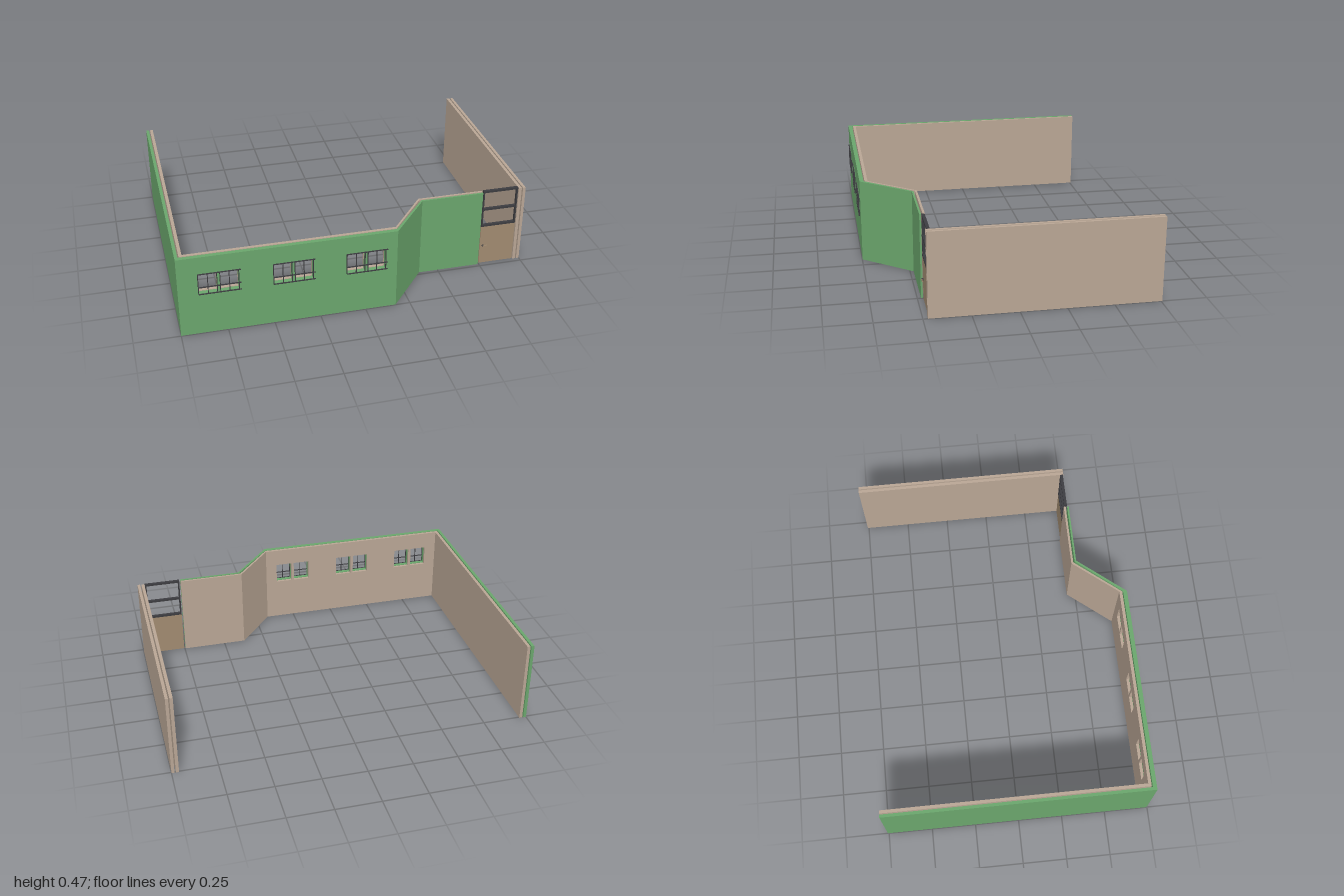
import * as THREE from 'three';

const H = 0.47;
const mat = (color) => new THREE.MeshStandardMaterial({ color, flatShading: true });
const GREEN = mat(0x6aa56c), TAN = mat(0xb8a594), WOOD = mat(0xa08a70), DARK = mat(0x3c3c40);

function add(parent, name, geometry, material) {
  const mesh = new THREE.Mesh(geometry, material);
  mesh.name = name;
  parent.add(mesh);
  return mesh;
}

// Box given by its lower and upper limits on each axis
function box(parent, name, x0, x1, y0, y1, z0, z1, material) {
  const g = new THREE.BoxGeometry(x1 - x0, y1 - y0, z1 - z0);
  g.translate((x0 + x1) / 2, (y0 + y1) / 2, (z0 + z1) / 2);
  return add(parent, name, g, material);
}

// Upright wall skin from a plan outline of [x, z] points
function planWall(parent, name, points, material) {
  const shape = new THREE.Shape(points.map(([x, z]) => new THREE.Vector2(x, -z)));
  const g = new THREE.ExtrudeGeometry(shape, { depth: H, bevelEnabled: false });
  g.rotateX(-Math.PI / 2);
  add(parent, name, g, material);
}

const windowCentres = [-0.787, -0.394, -0.001];
const W = { half: 0.104, mullion: 0.008, y0: 0.25, y1: 0.37 };

function rect(path, x0, x1, y0, y1) {
  return path.moveTo(x0, y0).lineTo(x1, y0).lineTo(x1, y1).lineTo(x0, y1).closePath();
}

// Front wall skin with a pair of openings per window
function frontSkin(parent, name, x0, x1, z0, z1, material) {
  const shape = rect(new THREE.Shape(), x0, x1, 0, H);
  for (const c of windowCentres) {
    shape.holes.push(rect(new THREE.Path(), c - W.half, c - W.mullion, W.y0, W.y1));
    shape.holes.push(rect(new THREE.Path(), c + W.mullion, c + W.half, W.y0, W.y1));
  }
  const g = new THREE.ExtrudeGeometry(shape, { depth: z1 - z0, bevelEnabled: false });
  g.translate(0, 0, z0);
  add(parent, name, g, material);
}

export function createModel() {
  const model = new THREE.Group();
  model.name = 'houseWalls';
  const back = -0.757;

  // Long side walls, each of two skins with a narrow cavity
  box(model, 'leftWingOuterSkin', -1, -0.983, 0, H, back, 0.725, GREEN);
  box(model, 'leftWingInnerSkin', -0.977, -0.96, 0, H, back, 0.703, TAN);
  box(model, 'rightWingInnerSkin', 0.96, 0.977, 0, H, back, 0.474, TAN);
  box(model, 'rightWingOuterSkin', 0.984, 1, 0, H, back, 0.474, TAN);

  // Front wall
  frontSkin(model, 'frontOuterSkin', -1, 0.17, 0.725, 0.748, GREEN);
  frontSkin(model, 'frontInnerSkin', -0.977, 0.17, 0.703, 0.72, TAN);

  // Slanted wall continuing into the recessed entrance wall
  planWall(model, 'entranceOuterSkin', [[0.17, 0.748], [0.39, 0.48], [0.745, 0.48],
    [0.745, 0.47], [0.385, 0.47], [0.17, 0.725]], GREEN);
  planWall(model, 'entranceInnerSkin', [[0.17, 0.72], [0.38, 0.462], [0.745, 0.462],
    [0.745, 0.45], [0.375, 0.45], [0.17, 0.703]], TAN);

  // Window grilles just proud of the front wall
  const t = 0.002;
  for (const c of windowCentres) {
    const grille = new THREE.Group();
    grille.name = 'windowGrille';
    model.add(grille);
    for (const y of [0.248, 0.29, 0.37])
      box(grille, 'crossBar', c - 0.106, c + 0.117, y - t, y + t, 0.751, 0.757, DARK);
    for (const dx of [-0.106, -0.056, -0.008, 0.008, 0.056, 0.106])
      box(grille, 'uprightBar', c + dx - t, c + dx + t, 0.248, 0.37, 0.75, 0.756, DARK);
  }

  // Half-open door: solid lower panel, open framed upper half
  const door = new THREE.Group();
  door.name = 'door';
  model.add(door);
  box(door, 'doorPanel', 0.753, 0.957, 0, 0.245, 0.455, 0.468, WOOD);
  for (const y of [0.249, 0.355, 0.469])
    box(door, 'doorRail', 0.753, 0.957, y - 0.006, y + 0.006, 0.453, 0.47, DARK);
  for (const x of [0.757, 0.953])
    box(door, 'doorStile', x - 0.004, x + 0.004, 0.249, 0.469, 0.454, 0.469, DARK);

  // Lever handle
  const stem = add(door, 'handleStem', new THREE.CylinderGeometry(0.006, 0.006, 0.01, 12), DARK);
  stem.rotation.x = Math.PI / 2;
  stem.position.set(0.77, 0.117, 0.473);
  box(door, 'handleLever', 0.766, 0.795, 0.113, 0.121, 0.474, 0.479, WOOD);

  return model;
}
